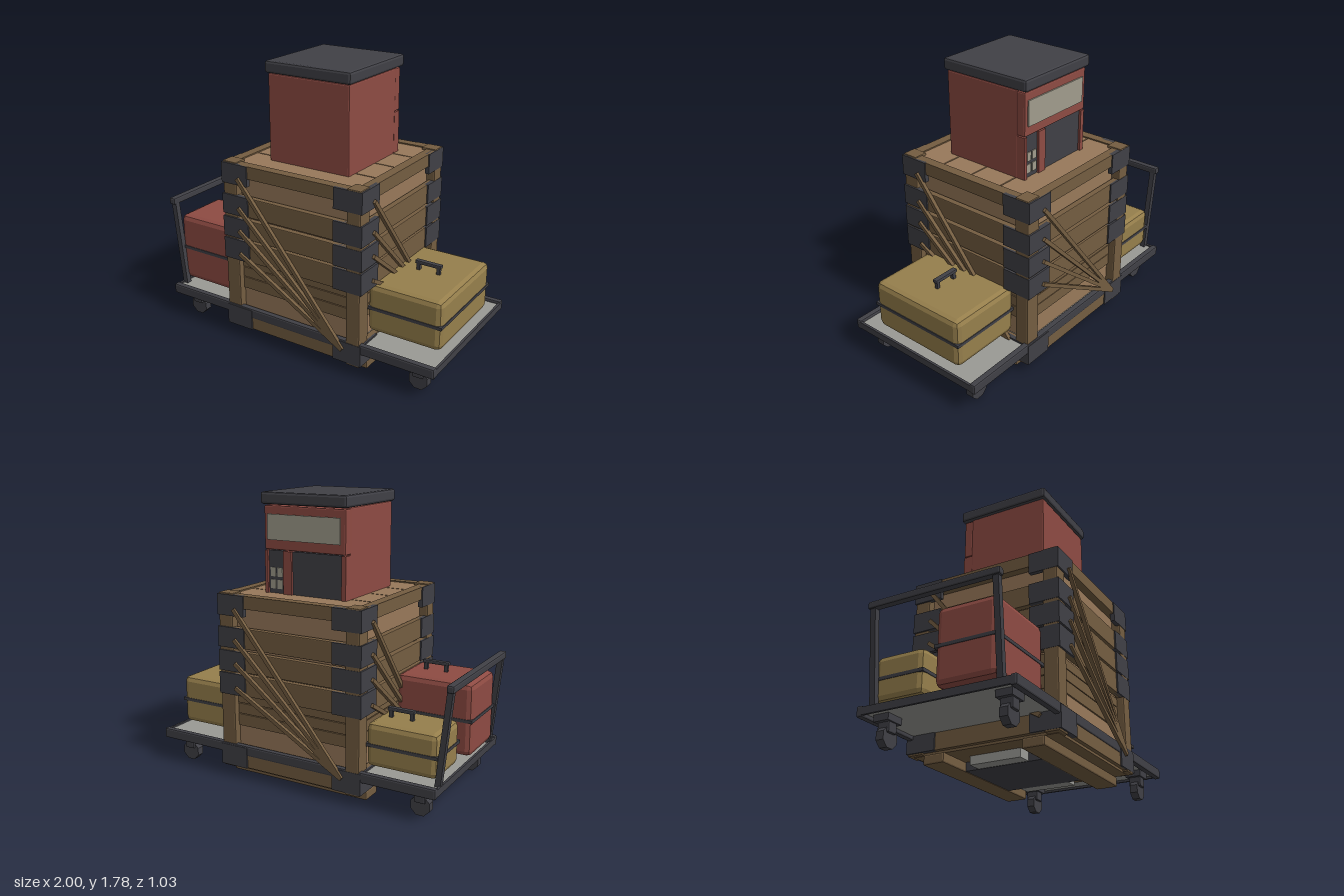
import * as THREE from 'three';
import { RoundedBoxGeometry } from 'three/addons/geometries/RoundedBoxGeometry.js';

const mat = (name, color) => {
  const m = new THREE.MeshStandardMaterial({ color });
  m.name = name;
  return m;
};

export function createModel() {
  const model = new THREE.Group();
  model.name = 'loadedLuggageTrolley';
  const lightWood = mat('lightWood', 0x98795a);
  const darkWood = mat('darkWood', 0x745d41);
  const metal = mat('darkMetal', 0x404046);
  const deckGrey = mat('deckGrey', 0x9a9a95);
  const red = mat('red', 0x8e4b43);
  const tan = mat('tan', 0x967f4c);
  const cream = mat('cream', 0xa09c8c);

  const group = (name, parent = model) => {
    const g = new THREE.Group();
    g.name = name;
    parent.add(g);
    return g;
  };
  // Box given by its limits on each axis; a bevel cuts its edges flat
  const box = (parent, name, material, [x0, x1], [y0, y1], [z0, z1], bevel = 0) => {
    const size = [x1 - x0, y1 - y0, z1 - z0];
    const geo = bevel ? new RoundedBoxGeometry(...size, 1, bevel) : new THREE.BoxGeometry(...size);
    if (bevel) geo.computeVertexNormals();
    const mesh = new THREE.Mesh(geo, material);
    mesh.name = name;
    mesh.position.set((x0 + x1) / 2, (y0 + y1) / 2, (z0 + z1) / 2);
    parent.add(mesh);
    return mesh;
  };
  // Straight bar with a square section between two points
  const bar = (parent, name, material, a, b, width) => {
    const p = new THREE.Vector3(...a), q = new THREE.Vector3(...b);
    const mesh = new THREE.Mesh(new THREE.BoxGeometry(width, width, p.distanceTo(q)), material);
    mesh.name = name;
    mesh.position.copy(p).add(q).multiplyScalar(0.5);
    mesh.lookAt(q);
    parent.add(mesh);
  };

  // Trolley: deck, rails, castors and push handle
  const trolley = group('trolley');
  box(trolley, 'deck', deckGrey, [-0.93, 0.985], [0.185, 0.205], [-0.46, 0.46]);
  for (const s of [-1, 1]) {
    box(trolley, 'sideRail', metal, [-0.94, 1], [0.16, 0.225], [s * 0.475 - 0.02, s * 0.475 + 0.02], 0.01);
    bar(trolley, 'handlePost', metal, [-0.915, 0.2, s * 0.395], [-0.975, 0.78, s * 0.395], 0.035);
    for (const x of [-0.81, 0.86]) {
      const castor = group('castor', trolley);
      castor.position.set(x, 0, s * 0.38);
      box(castor, 'castorFork', metal, [-0.035, 0.035], [0.085, 0.15], [-0.04, 0.04], 0.008);
      box(castor, 'castorPlate', metal, [-0.06, 0.06], [0.145, 0.187], [-0.05, 0.05]);
      const wheelGeo = new THREE.CylinderGeometry(0.064, 0.064, 0.05, 8).toNonIndexed();
      wheelGeo.computeVertexNormals();
      const wheel = new THREE.Mesh(wheelGeo, metal);
      wheel.name = 'wheel';
      wheel.rotation.set(Math.PI / 2, Math.PI / 8, 0);
      wheel.position.y = 0.064;
      castor.add(wheel);
    }
  }
  box(trolley, 'endRail', metal, [-0.94, -0.925], [0.17, 0.215], [-0.48, 0.48]);
  box(trolley, 'endRail', metal, [0.985, 1], [0.17, 0.215], [-0.48, 0.48]);
  box(trolley, 'handleBar', metal, [-1, -0.955], [0.765, 0.81], [-0.425, 0.425], 0.01);

  // Crate: inner box, then four equal sides turned about its axis
  const crate = group('crate');
  crate.position.x = 0.025;
  box(crate, 'innerWalls', lightWood, [-0.44, 0.44], [0.08, 1.14], [-0.44, 0.44]);
  box(crate, 'crateBase', darkWood, [-0.465, 0.465], [0.065, 0.15], [-0.465, 0.465]);
  const levels = [[1.05, 1.18], [0.85, 0.978], [0.7, 0.83], [0.55, 0.687], [0.08, 0.215]];
  for (let i = 0; i < 4; i++) {
    const side = group('crateSide', crate);
    side.rotation.y = i * Math.PI / 2;
    box(side, 'cornerPost', darkWood, [-0.497, -0.395], [0.068, 1.188], [0.395, 0.488], 0.008);
    box(side, 'topEdge', darkWood, [-0.42, 0.42], [1.1, 1.18], [0.43, 0.492]);
    for (const [y0, y1] of [[0.34, 0.415], [0.42, 0.485], [0.49, 0.545]])
      box(side, 'recessedBoard', darkWood, [-0.4, 0.4], [y0, y1], [0.43, 0.45]);
    levels.forEach(([y0, y1], k) => {
      if (k) box(side, 'outerBoard', darkWood, [-0.488, 0.488], [y0, y1], [0.45, 0.49], 0.005);
      for (const s of [-1, 1])
        box(side, 'cornerBracket', metal, s < 0 ? [-0.499, -0.307] : [0.307, 0.499], [y0, y1], [0.47, 0.499]);
      // Slanted lashing poles fan out from the low right corner
      if (k < 4) bar(side, 'lashingPole', darkWood, [-0.375, [1.095, 0.905, 0.755, 0.6][k], 0.503], [0.375, 0.165, 0.503], 0.024);
    });
  }
  // Lid planks with narrow seams
  for (let i = 0; i < 4; i++) {
    const z = -0.445 + i * 0.2225;
    box(crate, 'lidPlank', lightWood, [-0.44, 0.44], [1.13, 1.172], [z + 0.004, z + 0.2185]);
  }
  // Skids and the tray between them
  for (const s of [-1, 1])
    box(crate, 'skid', darkWood, [-0.482, 0.482], [0.005, 0.066], [s * 0.32 - 0.07, s * 0.32 + 0.07], 0.01);
  box(crate, 'tray', deckGrey, [-0.34, 0.34], [0.012, 0.066], [-0.165, 0.165]);
  box(crate, 'trayMat', metal, [-0.25, 0.25], [0.01, 0.064], [-0.25, 0.25]);

  // Kiosk on the lid, its shop front facing backwards
  const kiosk = group('kiosk');
  box(kiosk, 'kioskBody', red, [-0.255, 0.31], [1.16, 1.71], [-0.235, 0.295], 0.008);
  box(kiosk, 'kioskRoof', metal, [-0.27, 0.325], [1.712, 1.786], [-0.31, 0.31], 0.015);
  box(kiosk, 'signBoard', red, [-0.255, 0.31], [1.44, 1.705], [-0.29, -0.23], 0.008);
  box(kiosk, 'signPlate', cream, [-0.22, 0.285], [1.5, 1.655], [-0.299, -0.29]);
  for (const [x0, x1] of [[-0.255, -0.225], [0.12, 0.18], [0.29, 0.31]])
    box(kiosk, 'shopPillar', red, [x0, x1], [1.16, 1.435], [-0.29, -0.23]);
  box(kiosk, 'shopWindow', metal, [-0.225, 0.12], [1.17, 1.435], [-0.275, -0.23]);
  box(kiosk, 'shopDoor', metal, [0.18, 0.29], [1.17, 1.435], [-0.275, -0.23]);
  for (const x of [0.192, 0.24])
    for (const y of [1.2, 1.275])
      box(kiosk, 'doorPane', cream, [x, x + 0.036], [y, y + 0.055], [-0.281, -0.275]);

  // Suitcases with a belt round the middle and a grip on top
  const suitcase = (name, material, [x0, x1], top, [z0, z1], beltY, gripX) => {
    const g = group(name);
    const z = (z0 + z1) / 2;
    box(g, 'caseShell', material, [x0, x1], [0.235, top], [z0, z1], 0.035);
    box(g, 'caseBelt', metal, [x0 - 0.004, x1 + 0.004], [beltY - 0.01, beltY + 0.01], [z0 - 0.004, z1 + 0.004]);
    box(g, 'caseGrip', metal, [gripX - 0.087, gripX + 0.087], [top + 0.04, top + 0.063], [z - 0.017, z + 0.017], 0.006);
    for (const s of [-1, 1])
      box(g, 'gripPost', metal, [gripX + s * 0.067 - 0.011, gripX + s * 0.067 + 0.011], [top - 0.005, top + 0.045], [z - 0.011, z + 0.011]);
  };
  suitcase('largeTanCase', tan, [0.47, 0.955], 0.55, [-0.337, 0.333], 0.393, 0.7);
  suitcase('redCase', red, [-0.945, -0.45], 0.69, [0.005, 0.385], 0.463, -0.63);
  suitcase('smallTanCase', tan, [-0.91, -0.46], 0.505, [-0.41, -0.09], 0.37, -0.612);
  return model;
}
